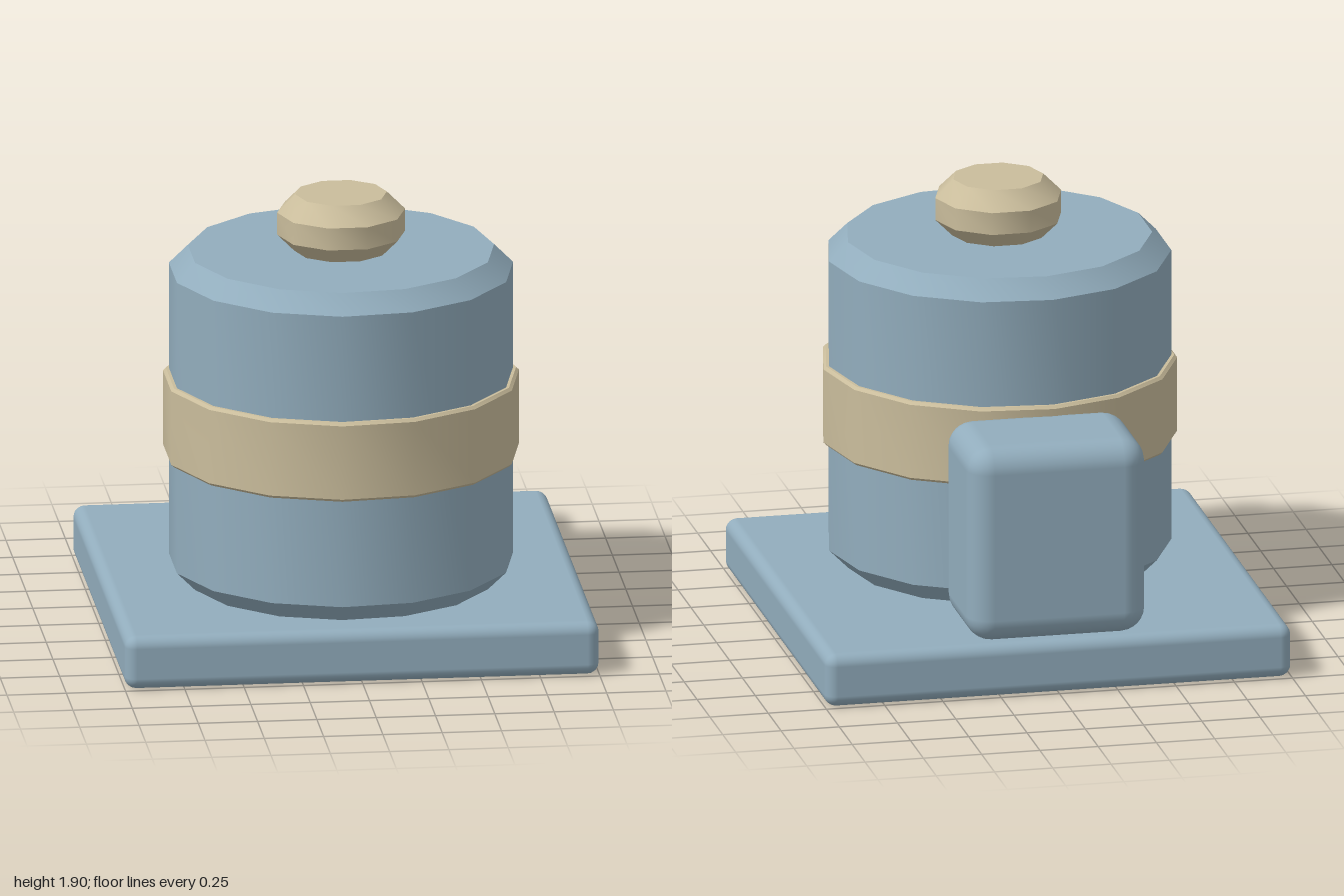
import * as THREE from 'three';
import { toCreasedNormals } from 'three/addons/utils/BufferGeometryUtils.js';
import { RoundedBoxGeometry } from 'three/addons/geometries/RoundedBoxGeometry.js';

export function createModel() {
  const group = new THREE.Group();
  const blue = new THREE.MeshStandardMaterial({ name: 'dusty blue', color: 0x92adbd });
  const tan = new THREE.MeshStandardMaterial({ name: 'sand tan', color: 0xcabd9c });

  const add = (name, geometry, material, x, y, z) => {
    const mesh = new THREE.Mesh(geometry, material);
    mesh.name = name;
    mesh.position.set(x, y, z);
    group.add(mesh);
  };

  // Turned part: smooth around the axis, sharp at the bevels, one corner on +x
  const turned = (name, profile, sides, material) => {
    const points = profile.map(([r, y]) => new THREE.Vector2(r, y));
    const lathe = new THREE.LatheGeometry(points, sides).rotateY(Math.PI / 2);
    add(name, toCreasedNormals(lathe, THREE.MathUtils.degToRad(40)), material, 0, 0, 0.19);
  };

  // Square base slab and the box on its rear edge
  add('base', new RoundedBoxGeometry(2, 0.23, 2, 3, 0.05), blue, 0, 0.115, 0);
  add('rearBox', new RoundedBoxGeometry(0.765, 0.85, 0.53, 3, 0.105), blue, -0.002, 0.655, -0.735);

  // Bevelled drum
  turned('drum', [[0, 0.23], [0.645, 0.23], [0.725, 0.31], [0.725, 1.58], [0.645, 1.66], [0, 1.66]], 15, blue);

  // Band around the drum
  turned('band', [[0.7, 0.775], [0.738, 0.775], [0.75, 0.787], [0.75, 1.108], [0.738, 1.12], [0.7, 1.12]], 15, tan);

  // Knob on the lid
  turned('knob', [[0, 1.655], [0.193, 1.655], [0.27, 1.732], [0.27, 1.828], [0.193, 1.905], [0, 1.905]], 10, tan);

  return group;
}
